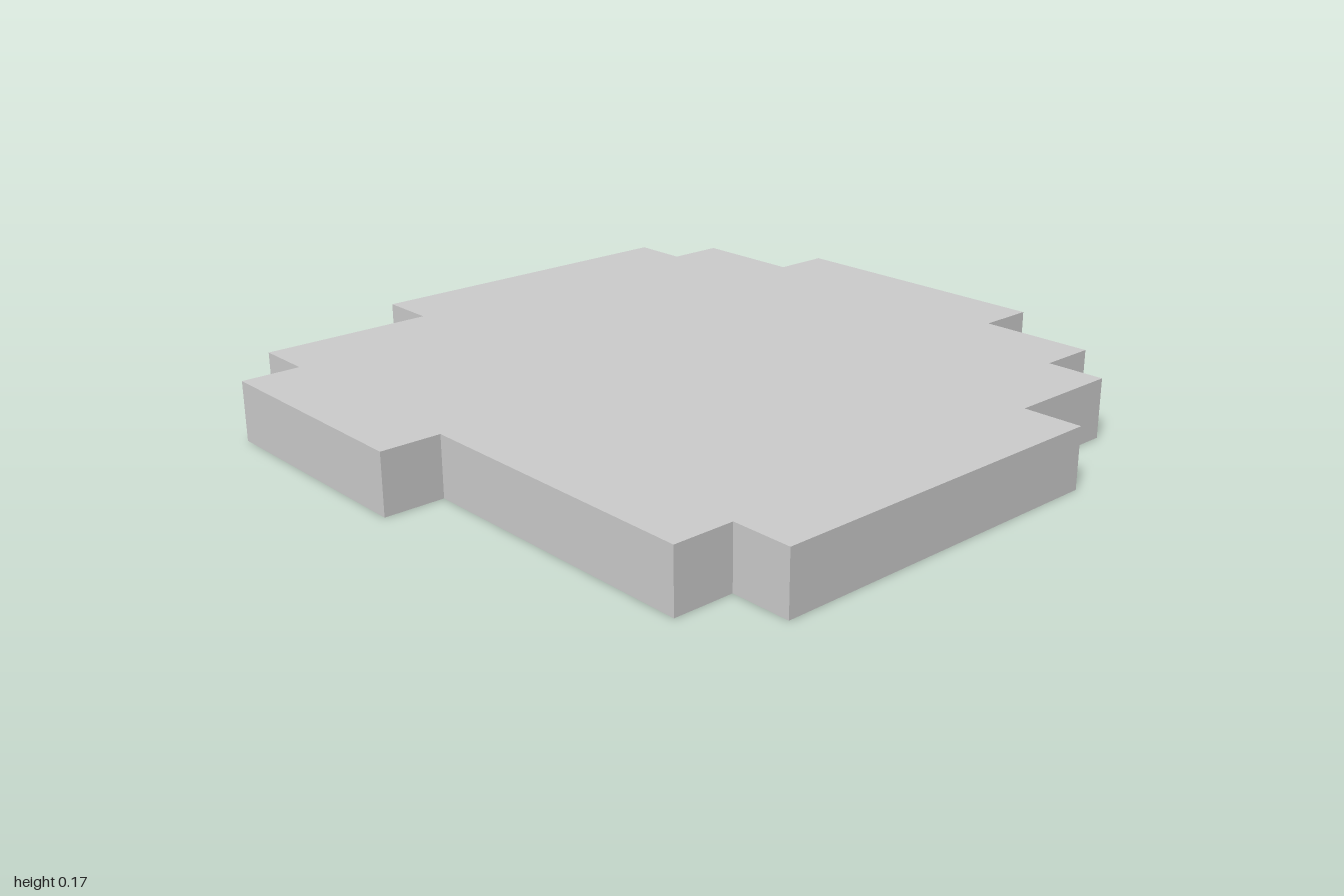
import * as THREE from 'three';

const UNIT = 1 / 6; // side of one grid cell, also the slab thickness

// Stepped outline as [x, z] grid corners, starting at the back
const OUTLINE = [
  [-3, -6], [2, -6], [2, -5], [4, -5], [4, -4], [5, -4], [5, -2], [6, -2],
  [6, 4], [5, 4], [5, 5], [0, 5], [0, 6], [-4, 6], [-4, 5], [-5, 5],
  [-5, 2], [-6, 2], [-6, -4], [-5, -4], [-5, -5], [-3, -5],
];

export function createModel() {
  const group = new THREE.Group();
  group.name = 'steppedSlab';

  // Flat slab: outline extruded, then laid down so the thickness points up
  const shape = new THREE.Shape(
    OUTLINE.map(([x, z]) => new THREE.Vector2(x * UNIT, -z * UNIT))
  );
  const geometry = new THREE.ExtrudeGeometry(shape, { depth: UNIT, bevelEnabled: false });
  geometry.rotateX(-Math.PI / 2);

  const slab = new THREE.Mesh(
    geometry,
    new THREE.MeshStandardMaterial({ color: 0xcccccc, flatShading: true })
  );
  slab.name = 'slab';
  group.add(slab);
  return group;
}
